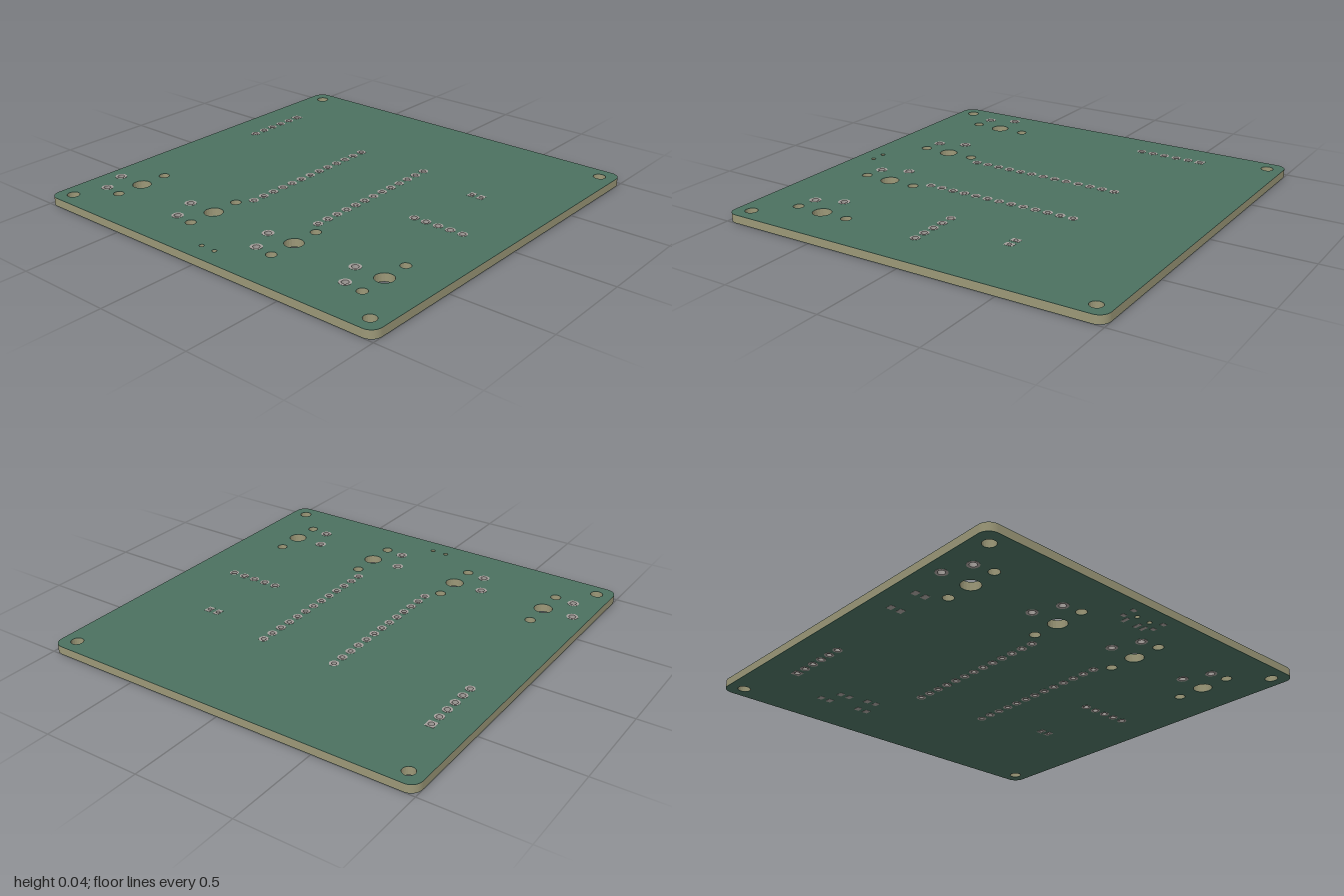
import * as THREE from 'three';

const TOP = 0.043, BOTTOM = 0.001, MASK = 0.002, PITCH = 0.0677;

const paint = (color) => new THREE.MeshStandardMaterial({ color });
const materials = { substrate: paint(0x9c9878), mask: paint(0x4b7160), metal: paint(0xa5a09c) };

// Outline helpers in plan (shape y becomes z)
function circle(x, z, r, Type = THREE.Path) {
  const p = new Type();
  p.absarc(x, z, r, 0, Math.PI * 2, false);
  return p;
}

function rect(x, z, w, d, Type = THREE.Path) {
  const p = new Type();
  p.moveTo(x - w / 2, z - d / 2);
  p.lineTo(x + w / 2, z - d / 2);
  p.lineTo(x + w / 2, z + d / 2);
  p.lineTo(x - w / 2, z + d / 2);
  p.closePath();
  return p;
}

function roundedSquare(h, r) {
  const s = new THREE.Shape();
  s.absarc(h - r, h - r, r, 0, Math.PI / 2, false);
  s.absarc(-h + r, h - r, r, Math.PI / 2, Math.PI, false);
  s.absarc(-h + r, -h + r, r, Math.PI, Math.PI * 1.5, false);
  s.absarc(h - r, -h + r, r, Math.PI * 1.5, Math.PI * 2, false);
  s.closePath();
  return s;
}

// Flat slab between two heights
function slab(name, shape, y0, y1, material, curveSegments = 10) {
  const geo = new THREE.ExtrudeGeometry(shape, { depth: y1 - y0, bevelEnabled: false, curveSegments });
  geo.rotateX(Math.PI / 2).translate(0, y1, 0);
  const mesh = new THREE.Mesh(geo, material);
  mesh.name = name;
  return mesh;
}

export function createModel() {
  const model = new THREE.Group();
  model.name = 'circuitBoard';
  const cutouts = [];   // openings through the board
  const plated = new THREE.Group();
  plated.name = 'platedHoles';

  const drill = (x, z, r) => cutouts.push(circle(x, z, r));

  // Metal pad with a barrel running through the board
  function pad(x, z, outer, hole, w = 0, d = w) {
    cutouts.push(w ? rect(x, z, w, d) : circle(x, z, outer));
    const shape = w ? rect(x, z, w, d, THREE.Shape) : circle(x, z, outer, THREE.Shape);
    shape.holes.push(circle(x, z, hole));
    plated.add(slab('platedHole', shape, 0, TOP + 0.001, materials.metal));
  }

  // Corner mounting holes
  for (const x of [-0.92, 0.92]) for (const z of [-0.92, 0.92]) drill(x, z, 0.031);

  // Six pin header, square first pad
  for (let i = 0; i < 6; i++) pad(-0.825, -0.585 + i * PITCH, 0.024, 0.014, i === 0 ? 0.046 : 0);

  // Twin controller rows
  for (const x of [-0.204, 0.203])
    for (let i = 0; i < 13; i++) pad(x, -0.406 + i * PITCH, 0.024, 0.0125);

  // Five pin header
  for (let i = 0; i < 5; i++) pad(0.501 + i * PITCH, 0.072, 0.024, 0.015);

  // Battery connector pads
  for (const x of [0.557, 0.61]) pad(x, -0.32, 0, 0.01, 0.032, 0.046);

  // Key switch footprints
  for (let i = 0; i < 4; i++) {
    const x = -0.761 + i * 0.507, z = 0.625;
    drill(x, z, 0.046);
    for (const s of [-1, 1]) drill(x, z + s * 0.146, 0.026);
    pad(x - 0.157, z, 0.029, 0.017);
    pad(x - 0.102, z + 0.133, 0.029, 0.017);
  }

  // Slide switch locating holes
  for (const x of [-0.041, 0.039]) drill(x, 0.904, 0.012);

  // Board core between two thin solder mask layers
  const outline = roundedSquare(1, 0.055);
  outline.holes.push(...cutouts);
  model.add(
    slab('boardCore', outline, BOTTOM + MASK, TOP - MASK, materials.substrate),
    slab('topMask', outline, TOP - MASK, TOP, materials.mask),
    slab('bottomMask', outline, BOTTOM, BOTTOM + MASK, materials.mask),
    plated
  );

  // Surface pads on the underside
  const under = new THREE.Group();
  under.name = 'undersidePads';
  function surfacePad(x, z, w, d) {
    const mesh = new THREE.Mesh(new THREE.BoxGeometry(w, 0.002, d), materials.metal);
    mesh.position.set(x, 0.001, z);
    mesh.name = 'surfacePad';
    under.add(mesh);
  }

  // Slide switch contacts and corner tabs
  for (const x of [-0.06, 0.02, 0.06]) surfacePad(x, 0.85, 0.019, 0.04);
  for (const x of [-0.098, 0.098]) for (const z of [0.875, 0.934]) surfacePad(x, z, 0.027, 0.02);

  // Two-terminal component footprints
  const chips = [[-0.35, -0.63], [-0.33, -0.74], [-0.5, -0.65], [-0.55, -0.75], [-0.865, 0.25], [-0.865, 0.42]];
  for (const [x, z] of chips)
    for (const s of [-1, 1]) surfacePad(x + s * 0.026, z, 0.028, 0.036);
  model.add(under);

  return model;
}
